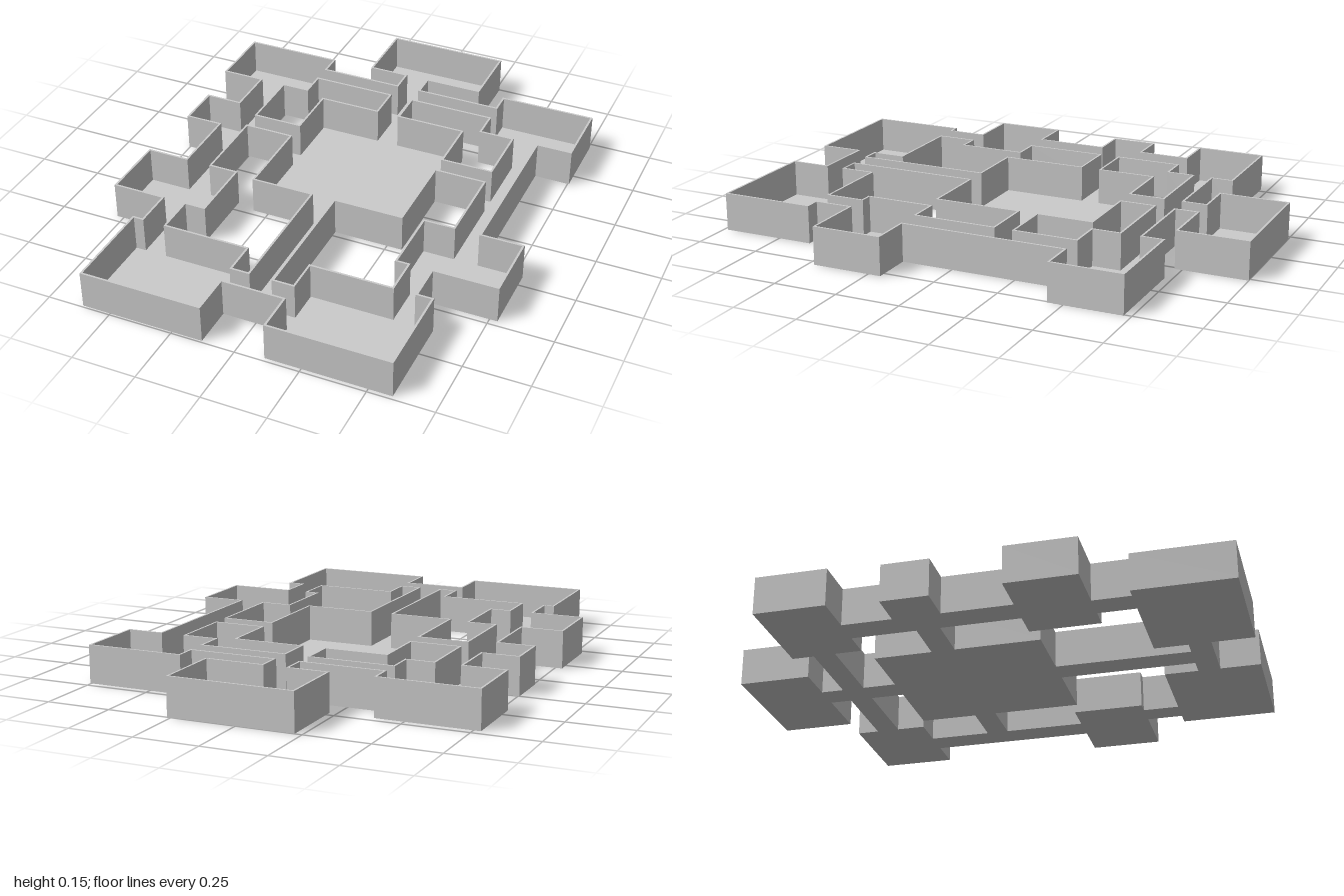
import * as THREE from 'three';

const FLOOR = 0.006, TOP = 0.147, WALL = 0.008;

// Right-angled loops as x,z pairs; each pair is a corner followed by a run along x to the next x.
const OUTLINE = [
  -0.222, -1, 0.265, -0.722, 0.038, -0.638, 0.37, -0.722, 0.755, -0.44, // back and back left rooms
  0.615, 0.2, 0.78, 0.475, 0.53, 0.615, 0.59, 0.985, 0.11, 0.83, // left side, front left room
  -0.13, 0.992, -0.612, 0.615, -0.572, 0.47, -0.777, 0.2, -0.612, -0.07, // front right, right side
  -0.755, -0.252, -0.612, -0.445, -0.777, -0.72, -0.388, -0.635, -0.067, -0.722, // alcove, back right room
];
const COURTYARDS = {
  backRight: [-0.39, -0.55, -0.067, -0.42, -0.312, -0.195, -0.5, -0.445],
  backLeft: [0.036, -0.55, 0.37, -0.44, 0.505, -0.2, 0.31, -0.42],
  frontRight: [-0.5, -0.105, -0.312, 0.225, -0.067, 0.745, -0.13, 0.615, -0.47, 0.47, -0.388, 0.2],
  frontLeft: [0.31, -0.115, 0.505, 0.2, 0.383, 0.475, 0.433, 0.615, 0.11, 0.745, 0.036, 0.225],
};

function corners(list) {
  const pts = [];
  for (let i = 0; i < list.length; i += 2) {
    pts.push(new THREE.Vector2(list[i], list[i + 1]));
    pts.push(new THREE.Vector2(list[(i + 2) % list.length], list[i + 1]));
  }
  return pts;
}

// Shift every corner by d towards the inside of its loop (negative d: outside)
function offset(pts, d) {
  const n = pts.length;
  return pts.map((p, i) => {
    const a = p.clone().sub(pts[(i + n - 1) % n]).normalize();
    const b = pts[(i + 1) % n].clone().sub(p).normalize();
    return new THREE.Vector2(p.x - d * (a.y + b.y), p.y + d * (a.x + b.x));
  });
}

// Plan loops (x, z) extruded upwards from y0 to y1; holes wind against the outer loop
function slab(name, outer, holes, y0, y1, material) {
  const flip = (pts) => pts.map((p) => new THREE.Vector2(p.x, -p.y));
  const shape = new THREE.Shape(flip(outer));
  shape.holes = holes.map((h) => new THREE.Path(flip(h).reverse()));
  const geometry = new THREE.ExtrudeGeometry(shape, { depth: y1 - y0, bevelEnabled: false });
  geometry.rotateX(-Math.PI / 2).translate(0, y0, 0);
  const mesh = new THREE.Mesh(geometry, material);
  mesh.name = name;
  return mesh;
}

export function createModel() {
  const group = new THREE.Group();
  group.name = 'floorPlan';
  const material = new THREE.MeshStandardMaterial({ color: 0xcccccc });
  const outline = corners(OUTLINE);

  // One floor through all rooms and corridors, open at the courtyards
  group.add(slab('floor', outline, Object.values(COURTYARDS).map(corners), 0, FLOOR, material));

  // Thin walls standing on the floor's edges
  group.add(slab('outerWall', outline, [offset(outline, WALL)], FLOOR, TOP, material));
  for (const [name, list] of Object.entries(COURTYARDS)) {
    const loop = corners(list);
    group.add(slab(name + 'CourtyardWall', offset(loop, -WALL), [loop], FLOOR, TOP, material));
  }
  return group;
}
